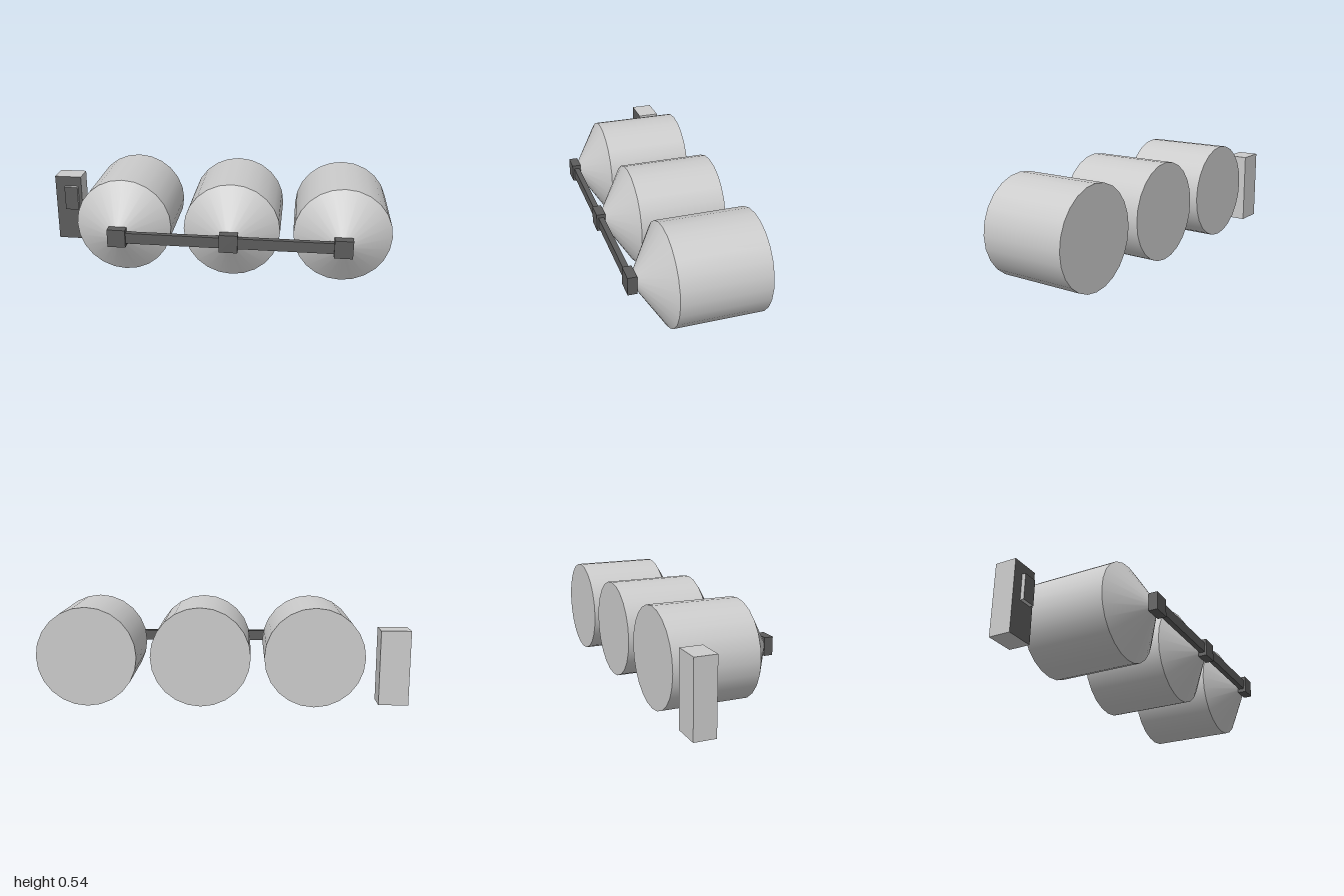
import * as THREE from 'three';

export function createModel() {
  const model = new THREE.Group();
  const grey = new THREE.MeshStandardMaterial({ color: 0xcccccc });
  const dark = new THREE.MeshStandardMaterial({ color: 0x5c5c5c });
  // Box faces run +x, -x, +y, -y, +z, -z: only the front is dark
  const darkFront = [grey, grey, grey, grey, dark, grey];

  function add(parent, name, geometry, material, x, y, z) {
    const mesh = new THREE.Mesh(geometry, material);
    mesh.name = name;
    mesh.position.set(x, y, z);
    parent.add(mesh);
    return mesh;
  }

  const axisY = 0.27, radius = 0.27, backZ = -0.333, shoulderZ = 0.141, neckZ = 0.284, frontZ = 0.333;
  const tankX = [-0.495, 0.117, 0.73];

  // Tanks lying on their sides: drum, closed back, cone and square outlet
  const drumLength = shoulderZ - backZ, coneLength = neckZ - shoulderZ;
  const drumGeometry = new THREE.CylinderGeometry(radius, radius, drumLength, 24, 1, true).rotateX(Math.PI / 2);
  const backGeometry = new THREE.CircleGeometry(radius, 24).rotateY(Math.PI);
  const coneGeometry = new THREE.CylinderGeometry(0.047, radius, coneLength, 24, 1, true).rotateX(Math.PI / 2);
  const outletGeometry = new THREE.BoxGeometry(0.1, 0.1, frontZ - neckZ);

  tankX.forEach((x) => {
    const tank = new THREE.Group();
    tank.name = 'tank';
    tank.position.set(x, axisY, 0);
    add(tank, 'drum', drumGeometry, grey, 0, 0, (backZ + shoulderZ) / 2);
    add(tank, 'drumBack', backGeometry, grey, 0, 0, backZ);
    add(tank, 'cone', coneGeometry, grey, 0, 0, (shoulderZ + neckZ) / 2);
    add(tank, 'outlet', outletGeometry, dark, 0, 0, (neckZ + frontZ) / 2);
    model.add(tank);
  });

  // Square pipes joining neighbouring outlets
  for (let i = 0; i < tankX.length - 1; i++) {
    const length = tankX[i + 1] - tankX[i] - 0.1;
    add(model, 'connectingPipe', new THREE.BoxGeometry(length, 0.06, 0.03), dark,
      (tankX[i] + tankX[i + 1]) / 2, axisY, 0.307);
  }

  // Control cabinet with a raised panel
  add(model, 'cabinet', new THREE.BoxGeometry(0.16, 0.405, 0.12), darkFront, -0.92, 0.2175, -0.273);
  add(model, 'cabinetPanel', new THREE.BoxGeometry(0.08, 0.145, 0.022), darkFront, -0.9, 0.2875, -0.203);

  return model;
}
